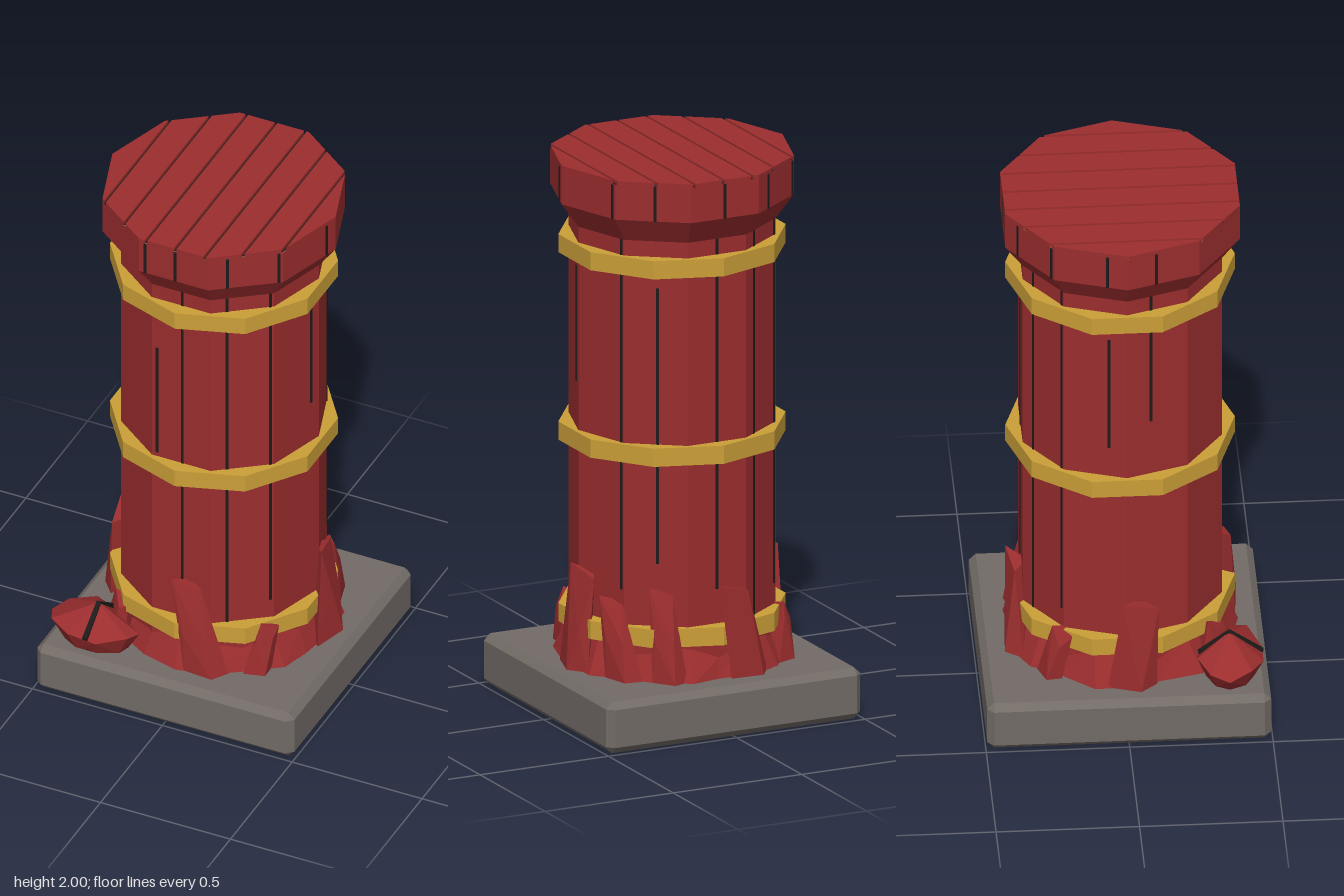
import * as THREE from 'three';
import { ConvexGeometry } from 'three/addons/geometries/ConvexGeometry.js';

const DEG = Math.PI / 180;
const CAP_R = 0.43, SHAFT_R = 0.365, SIDES = 10;

function makeMaterial(name, color) {
  const m = new THREE.MeshStandardMaterial({ color, flatShading: true });
  m.name = name;
  return m;
}

export function createModel() {
  const red = makeMaterial('red painted wood', 0x9b2d2e);
  const gold = makeMaterial('gold', 0xcb9f38);
  const stone = makeMaterial('grey stone', 0x726b66);
  const dark = makeMaterial('dark seam', 0x1d1a19);
  const model = new THREE.Group();
  model.name = 'brokenColumn';

  const add = (name, geometry, material, parent = model) => {
    const mesh = new THREE.Mesh(geometry, material);
    mesh.name = name;
    parent.add(mesh);
    return mesh;
  };
  const hull = (pts) => new ConvexGeometry(pts.map((p) => new THREE.Vector3(...p)));
  // Point on the column's surroundings: azimuth from the front towards +x
  const polar = (deg, r, y) => [Math.sin(deg * DEG) * r, y, Math.cos(deg * DEG) * r];

  // Plinth with chamfered edges
  const c = 0.024, hw = 0.495, hh = 0.0925;
  const plinth = [];
  for (const x of [-1, 1]) for (const y of [-1, 1]) for (const z of [-1, 1]) {
    plinth.push([x * hw, hh + y * (hh - c), z * (hw - c)]);
    plinth.push([x * (hw - c), hh + y * hh, z * (hw - c)]);
    plinth.push([x * (hw - c), hh + y * (hh - c), z * hw]);
  }
  add('plinth', hull(plinth), stone);

  // Ten-sided shaft and flared capital
  const profile = (pts) => new THREE.LatheGeometry(
    pts.map(([r, y]) => new THREE.Vector2(r, y)), SIDES, 18 * DEG);
  add('shaft', profile([[SHAFT_R, 0.18], [SHAFT_R, 1.77]]), red);
  add('capital', profile([[SHAFT_R, 1.77], [CAP_R, 1.86], [CAP_R, 1.988]]), red);
  add('capitalSeamFloor', profile([[CAP_R - 0.002, 1.988], [0, 1.988]]), dark);

  // Top boards: the decagon cut into strips with narrow gaps
  const corners = [0, 1, 2, 3, 4, 5].map((i) =>
    [-CAP_R * Math.cos(i * 36 * DEG), CAP_R * Math.sin(i * 36 * DEG)]);
  const halfDepth = (x) => {
    for (let i = 0; i < 5; i++) {
      const [x0, z0] = corners[i], [x1, z1] = corners[i + 1];
      if (x <= x1) return Math.max(0, z0 + (z1 - z0) * (x - x0) / (x1 - x0));
    }
    return 0;
  };
  const cuts = [-0.333, -0.218, -0.106, 0.006, 0.119, 0.232, 0.347];
  const limits = [-CAP_R + 0.0005, ...cuts, CAP_R - 0.0005];
  const boards = new THREE.Group();
  boards.name = 'topBoards';
  model.add(boards);
  for (let i = 0; i < limits.length - 1; i++) {
    const a = limits[i] + (i > 0 ? 0.005 : 0);
    const b = limits[i + 1] - (i < limits.length - 2 ? 0.005 : 0);
    const xs = [a, ...corners.map((p) => p[0]).filter((x) => x > a && x < b), b];
    const outline = [
      ...xs.map((x) => new THREE.Vector2(x, -halfDepth(x))),
      ...xs.slice().reverse().map((x) => new THREE.Vector2(x, halfDepth(x))),
    ];
    const g = new THREE.ExtrudeGeometry(new THREE.Shape(outline), { depth: 0.012, bevelEnabled: false });
    g.rotateX(-Math.PI / 2).translate(0, 1.988, 0);
    add('topBoard', g, red, boards);
  }

  // Gold bands, turned half a side against the shaft
  for (const y of [0.342, 1.0, 1.68]) {
    add('goldBand', new THREE.CylinderGeometry(0.4, 0.4, 0.066, SIDES), gold).position.y = y;
  }

  // Thin dark seams on the shaft and capital faces: azimuth, bottom, top
  const seam = (az, apothem, y0, y1) => {
    const face = Math.round(az / 36) * 36;
    const pivot = new THREE.Group();
    pivot.name = 'seam';
    pivot.rotation.y = face * DEG;
    model.add(pivot);
    const mesh = add('seamPlate', new THREE.BoxGeometry(0.01, y1 - y0, 0.005), dark, pivot);
    mesh.position.set(Math.tan((az - face) * DEG) * apothem, (y0 + y1) / 2, apothem);
  };
  const seams = [
    [0.8, 0.5, 1.78], [27, 0.3, 1.77], [52, 0.45, 1.77], [84, 1.2, 1.62], [124, 0.5, 1.77],
    [145, 0.6, 1.6], [180, 0.5, 1.77], [207, 0.3, 1.77], [232, 0.45, 1.77], [260, 1.15, 1.6],
    [284, 1.25, 1.77], [345, 1.05, 1.5],
  ];
  for (const [az, y0, y1] of seams) {
    seam(az, SHAFT_R * Math.cos(18 * DEG), y0, y1);
    seam(az, CAP_R * Math.cos(18 * DEG), 1.86, 1.985);
  }

  // Splintered foot: an uneven skirt around the shaft
  const n = 20;
  const skirt = new THREE.CylinderGeometry(0.36, 0.41, 0.1, n, 1, true);
  const pos = skirt.attributes.position;
  for (let i = 0; i < pos.count; i++) {
    const k = i % (n + 1) % n;
    const top = pos.getY(i) > 0;
    const wobble = Math.sin(k * 2.3) * 0.6 + Math.sin(k * 4.1 + 1) * 0.4;
    const p = top ? polar(k * 18, 0.362, 0.28 + 0.03 * wobble)
      : polar(k * 18 + 3 * wobble, 0.405 + 0.022 * wobble, 0.184);
    pos.setXYZ(i, ...p);
  }
  const skirtMesh = add('splinteredSkirt', skirt, red);
  skirtMesh.material = red;

  // Upright splinters: azimuth of foot, azimuth of tip, half width, tip height, tip radius
  const splinters = [
    [16, 6, 9, 0.55, 0.385], [42, 50, 6, 0.38, 0.4], [92, 98, 11, 0.55, 0.385],
    [128, 120, 8, 0.47, 0.385], [152, 148, 7, 0.52, 0.38], [196, 188, 10, 0.52, 0.4],
    [228, 236, 6, 0.39, 0.4], [272, 278, 10, 0.525, 0.405], [318, 322, 6, 0.36, 0.4],
  ];
  for (const [foot, tip, w, h, r] of splinters) {
    add('splinter', hull([
      polar(foot - w * 1.2, 0.405, 0.184), polar(foot + w * 0.4, 0.438, 0.184),
      polar(foot + w * 1.3, 0.4, 0.184), polar(foot, 0.32, 0.184),
      polar((foot + tip) / 2 - w * 0.7, 0.405, 0.33), polar((foot + tip) / 2 + w * 0.6, 0.415, 0.32),
      polar(tip - w, r, h), polar(tip + w * 0.8, r - 0.01, h - 0.03), polar(tip, 0.33, h - 0.02),
    ]), red);
  }

  // Fallen chunk lying on the plinth, with a dark seam across it
  const rim = [[-0.495, 0.35], [-0.46, 0.285], [-0.37, 0.245], [-0.32, 0.245], [-0.15, 0.37],
    [-0.17, 0.43], [-0.27, 0.475], [-0.38, 0.475], [-0.46, 0.43]];
  const cx = -0.31, cz = 0.36;
  const chunk = [[cx, 0.342, cz]];
  rim.forEach(([x, z], i) => {
    chunk.push([x, 0.26 + (i % 3 - 1) * 0.012, z]);
    chunk.push([cx + (x - cx) * 0.72, 0.186, cz + (z - cz) * 0.72]);
  });
  add('fallenChunk', hull(chunk), red);
  const strip = [];
  for (const x of [cx - 0.009, cx + 0.009]) {
    strip.push([x, 0.345, cz], [x, 0.264, 0.25], [x, 0.262, 0.479], [x, 0.19, 0.445], [x, 0.19, 0.28]);
  }
  add('chunkSeam', hull(strip), dark);

  return model;
}
